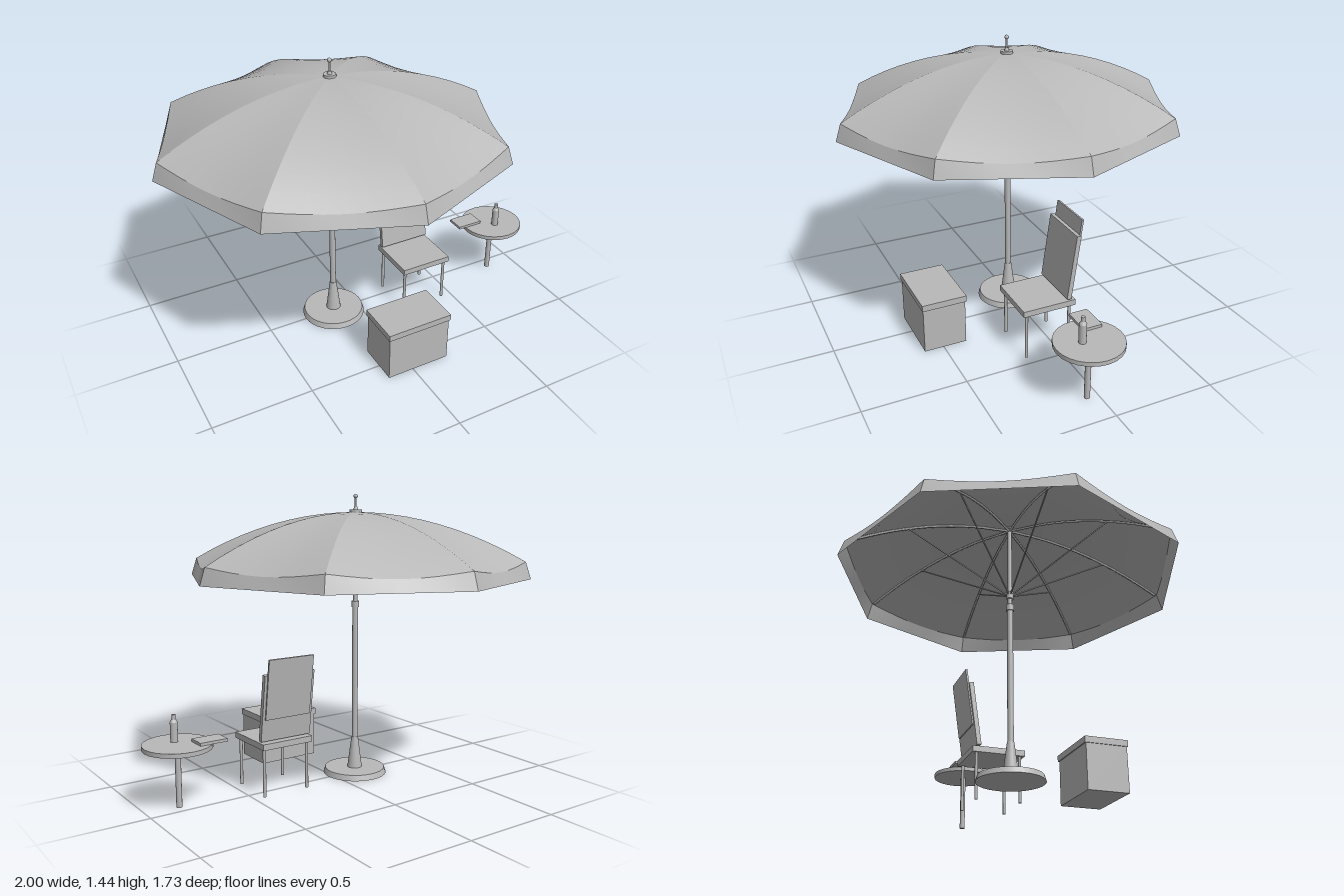
import * as THREE from 'three';

export function createModel() {
  const model = new THREE.Group();
  const grey = new THREE.MeshStandardMaterial({ color: 0xb8b8b8, side: THREE.DoubleSide });
  grey.name = 'plain grey';

  function add(parent, name, geometry, x = 0, y = 0, z = 0) {
    const mesh = new THREE.Mesh(geometry, grey);
    mesh.name = name;
    mesh.position.set(x, y, z);
    parent.add(mesh);
    return mesh;
  }
  function group(name, x = 0, z = 0) {
    const g = new THREE.Group();
    g.name = name;
    g.position.set(x, 0, z);
    model.add(g);
    return g;
  }
  // Upright cylinder or cone between two heights
  const post = (parent, name, rBottom, rTop, y0, y1, sides = 16, x = 0, z = 0) =>
    add(parent, name, new THREE.CylinderGeometry(rTop, rBottom, y1 - y0, sides), x, (y0 + y1) / 2, z);
  // Box given by its limits
  const block = (parent, name, x0, x1, y0, y1, z0, z1) =>
    add(parent, name, new THREE.BoxGeometry(x1 - x0, y1 - y0, z1 - z0),
      (x0 + x1) / 2, (y0 + y1) / 2, (z0 + z1) / 2);

  // Grid surface, point(u, v) with u across and v outward
  function sheet(nu, nv, point) {
    const pos = [], index = [];
    for (let j = 0; j <= nv; j++) {
      for (let i = 0; i <= nu; i++) pos.push(...point(i / nu, j / nv));
    }
    for (let j = 0; j < nv; j++) {
      for (let i = 0; i < nu; i++) {
        const a = j * (nu + 1) + i, b = a + nu + 1;
        index.push(a, a + 1, b, a + 1, b + 1, b);
      }
    }
    const g = new THREE.BufferGeometry();
    g.setAttribute('position', new THREE.Float32BufferAttribute(pos, 3));
    g.setIndex(index);
    g.computeVertexNormals();
    return g;
  }

  // Parasol
  const parasol = group('parasol', -0.135, 0);
  const RIM = 0.838, HEM = 0.865, HEM_Y = 1.025, TOP = 1.347;
  const ribY = r => TOP - 0.238 * (r / RIM) ** 2;
  const sag = (r, u) => 0.027 * (r / RIM) ** 2 * Math.sin(Math.PI * u);

  for (let k = 0; k < 8; k++) {
    const a0 = k * Math.PI / 4, a1 = a0 + Math.PI / 4;
    const across = (r, u) => [
      r * THREE.MathUtils.lerp(Math.cos(a0), Math.cos(a1), u),
      r * THREE.MathUtils.lerp(Math.sin(a0), Math.sin(a1), u)];

    // Sagging fabric panel with its hanging edge
    add(parasol, 'canopyPanel', sheet(8, 10, (u, v) => {
      const r = 0.005 + (RIM - 0.005) * v, [x, z] = across(r, u);
      return [x, ribY(r) - sag(r, u), z];
    }));
    add(parasol, 'valance', sheet(8, 2, (u, v) => {
      const [x, z] = across(RIM + (HEM - RIM) * v, u);
      return [x, THREE.MathUtils.lerp(ribY(RIM) - sag(RIM, u), HEM_Y, v), z];
    }));

    // Curved rib and straight stretcher
    const at = (r, y) => new THREE.Vector3(r * Math.cos(a0), y, r * Math.sin(a0));
    const ribPoints = [0.01, 0.2, 0.4, 0.6, 0.75, 0.825].map(r => at(r, ribY(r) - 0.009));
    add(parasol, 'rib', new THREE.TubeGeometry(new THREE.CatmullRomCurve3(ribPoints), 14, 0.006, 6));
    const strut = new THREE.LineCurve3(at(0.012, 0.96), at(0.53, ribY(0.53) - 0.01));
    add(parasol, 'stretcher', new THREE.TubeGeometry(strut, 1, 0.004, 6));
  }

  post(parasol, 'lowerPole', 0.015, 0.015, 0.02, 0.9);
  post(parasol, 'upperPole', 0.011, 0.011, 0.88, 1.345);
  post(parasol, 'poleCollar', 0.02, 0.02, 0.87, 0.902);
  post(parasol, 'stretcherHub', 0.018, 0.018, 0.937, 0.975);
  post(parasol, 'topCap', 0.031, 0.031, 1.341, 1.359, 20);
  post(parasol, 'finialFoot', 0.012, 0.008, 1.359, 1.373);
  post(parasol, 'finialRod', 0.005, 0.005, 1.36, 1.42, 8);
  add(parasol, 'finialBall', new THREE.SphereGeometry(0.011, 12, 8), 0, 1.425, 0);
  post(parasol, 'baseDisc', 0.163, 0.154, 0, 0.028, 32);
  post(parasol, 'baseCone', 0.038, 0.017, 0.026, 0.19, 20);

  // Storage box with overhanging lid
  const chest = group('storageBox');
  block(chest, 'boxBody', -0.135, 0.195, 0, 0.232, 0.381, 0.597);
  block(chest, 'boxLid', -0.14, 0.202, 0.23, 0.262, 0.375, 0.602);

  // Chair
  const chair = group('chair', 0.325, 0);
  block(chair, 'seat', -0.138, 0.138, 0.237, 0.267, -0.084, 0.19);
  for (const x of [-0.12, 0.12]) {
    for (const z of [-0.06, 0.168]) post(chair, 'chairLeg', 0.008, 0.008, 0, 0.24, 10, x, z);
  }
  const backCushion = block(chair, 'backCushion', -0.137, 0.137, 0.274, 0.605, -0.085, -0.062);
  const backPanel = block(chair, 'backPanel', -0.123, 0.123, 0.382, 0.68, -0.105, -0.095);
  backCushion.rotation.x = backPanel.rotation.x = -0.138;

  // Side table with bottle and book
  const table = group('sideTable', 0.836, 0.055);
  post(table, 'tableTop', 0.163, 0.163, 0.285, 0.306, 24);
  post(table, 'tableLeg', 0.014, 0.014, 0, 0.29, 12);
  post(table, 'bottleBody', 0.018, 0.018, 0.305, 0.4, 14, 0, 0.034);
  post(table, 'bottleShoulder', 0.018, 0.009, 0.4, 0.415, 14, 0, 0.034);
  post(table, 'bottleCap', 0.0095, 0.0095, 0.413, 0.436, 12, 0, 0.034);
  block(table, 'book', -0.205, -0.066, 0.306, 0.32, -0.104, -0.01);

  return model;
}
